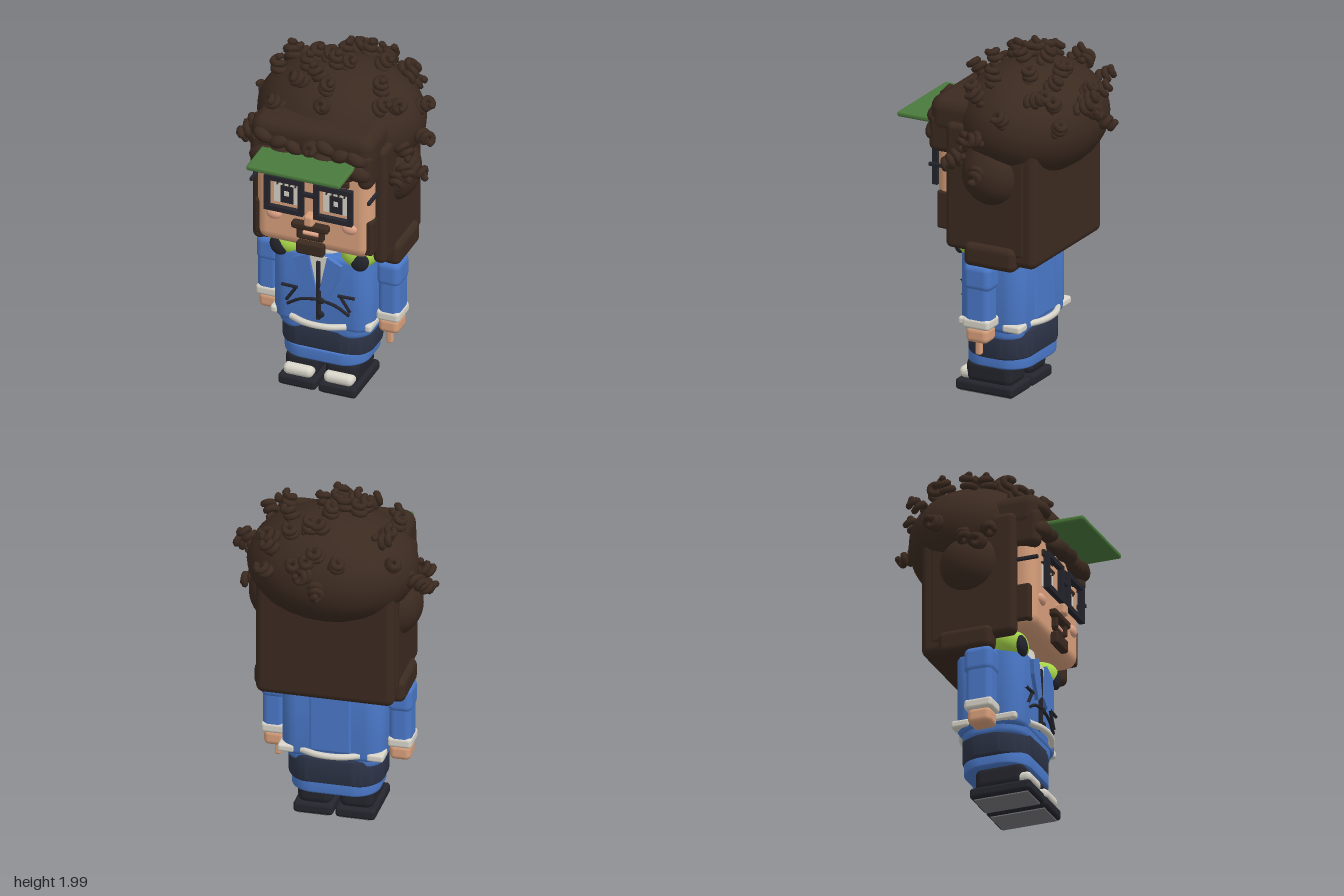
import * as THREE from 'three';
import { toCreasedNormals } from 'three/addons/utils/BufferGeometryUtils.js';
import { RoundedBoxGeometry } from 'three/addons/geometries/RoundedBoxGeometry.js';

const mat = (name, color) => Object.assign(new THREE.MeshStandardMaterial({ color }), { name });

export function createModel() {
  const root = new THREE.Group();
  root.name = 'figure';
  const hair = mat('brown hair', 0x3b2a20), skin = mat('skin', 0xd9a07c), blue = mat('blue cloth', 0x4a78c8);
  const navy = mat('navy cloth', 0x2e3549), black = mat('black', 0x24252d), cream = mat('cream', 0xd9d5ca);
  const lime = mat('lime', 0xa8d84a), green = mat('green', 0x4a7a3c), blush = mat('blush', 0xe0a488);
  const grey = mat('sole grey', 0x77777a);

  const add = (name, geo, m) => {
    const mesh = new THREE.Mesh(geo, m);
    mesh.name = name;
    root.add(mesh);
    return mesh;
  };
  // rounded box from its bounds
  const box = (name, m, x0, x1, y0, y1, z0, z1, r = 0.01) => {
    const w = x1 - x0, h = y1 - y0, d = z1 - z0;
    const mesh = add(name, new RoundedBoxGeometry(w, h, d, 3, Math.min(r, w / 2.1, h / 2.1, d / 2.1)), m);
    mesh.position.set((x0 + x1) / 2, (y0 + y1) / 2, (z0 + z1) / 2);
    return mesh;
  };
  // the same box on both sides
  const pair = (name, m, x0, x1, ...rest) => {
    box(name + 'Left', m, x0, x1, ...rest);
    box(name + 'Right', m, -x1, -x0, ...rest);
  };
  const ball = (name, m, x, y, z, rx, ry, rz, rot = 0) => {
    const mesh = add(name, new THREE.SphereGeometry(1, 32, 20), m);
    mesh.position.set(x, y, z);
    mesh.scale.set(rx, ry, rz);
    mesh.rotation.z = rot;
    return mesh;
  };
  const tube = (name, m, pts, r, segs = 20) =>
    add(name, new THREE.TubeGeometry(new THREE.CatmullRomCurve3(pts.map(p => new THREE.Vector3(...p))), segs, r, 8), m);
  // upright block with a rounded-rectangle plan and bevelled rims
  const block = (name, m, hx, y0, y1, z0, z1, r, b) => {
    const a = hx - b, c = (z1 - z0) / 2 - b, s = new THREE.Shape();
    s.moveTo(-a + r, -c).lineTo(a - r, -c).absarc(a - r, -c + r, r, -Math.PI / 2, 0)
      .absarc(a - r, c - r, r, 0, Math.PI / 2).absarc(-a + r, c - r, r, Math.PI / 2, Math.PI)
      .absarc(-a + r, -c + r, r, Math.PI, Math.PI * 1.5);
    const g = new THREE.ExtrudeGeometry(s, { depth: y1 - y0 - 2 * b, bevelSize: b, bevelThickness: b, bevelSegments: 4, curveSegments: 10 });
    g.rotateX(-Math.PI / 2).translate(0, y0 + b, (z0 + z1) / 2);
    return add(name, toCreasedNormals(g, 0.7), m);
  };
  // thin plate from outline points, facing +z
  const plate = (name, m, pts, z, depth) => {
    const g = new THREE.ExtrudeGeometry(new THREE.Shape(pts.map(p => new THREE.Vector2(...p))), { depth, bevelEnabled: false });
    g.translate(0, 0, z);
    return add(name, g, m);
  };

  // shoes and legs
  pair('sole', black, 0.006, 0.228, 0.012, 0.075, -0.09, 0.265, 0.02);
  pair('solePlate', grey, 0.03, 0.205, 0.004, 0.014, -0.07, 0.245, 0.003);
  pair('shoe', black, 0.02, 0.212, 0.06, 0.2, -0.07, 0.215, 0.045);
  pair('toeCap', cream, 0.032, 0.204, 0.072, 0.137, 0.12, 0.258, 0.03);

  // trousers and jacket body
  block('shirtHem', blue, 0.246, 0.18, 0.26, -0.158, 0.228, 0.13, 0.012);
  block('trousers', navy, 0.266, 0.235, 0.41, -0.162, 0.222, 0.13, 0.025);
  block('jacketHem', blue, 0.272, 0.35, 0.48, -0.15, 0.222, 0.1, 0.03);
  block('jacket', blue, 0.288, 0.4, 0.855, -0.165, 0.228, 0.07, 0.03);
  box('jacketBackPanel', blue, -0.12, 0.12, 0.44, 0.84, -0.172, -0.1, 0.02);
  for (const s of [1, -1]) {
    const z = s > 0 ? 0.275 : -0.2;
    tube(s > 0 ? 'frontHemCord' : 'backHemCord', cream,
      [[-0.16, 0.438, z - s * 0.045], [-0.08, 0.438, z - s * 0.01], [0, 0.438, z], [0.08, 0.438, z - s * 0.01], [0.16, 0.438, z - s * 0.045]], 0.018);
  }
  pair('hemTrimBack', cream, 0.2, 0.294, 0.415, 0.46, -0.17, -0.06, 0.015);
  pair('hemTrimFront', cream, 0.255, 0.294, 0.415, 0.46, 0.08, 0.21, 0.015);

  // shirt, lapels and fastenings
  plate('shirtFront', cream, [[-0.075, 0.85], [0, 0.6], [0.075, 0.85]], 0.225, 0.008);
  for (const s of [1, -1]) {
    const pts = [[s * 0.055, 0.86], [s * 0.14, 0.82], [s * 0.125, 0.74], [s * 0.065, 0.61], [s * 0.012, 0.65]];
    plate('lapel', blue, s > 0 ? pts.reverse() : pts, 0.222, 0.028);
    tube('cordUpper', black, [[s * 0.215, 0.63, 0.236], [s * 0.115, 0.63, 0.24]], 0.009, 2);
    tube('cordMiddle', black, [[s * 0.13, 0.625, 0.238], [s * 0.185, 0.54, 0.238]], 0.009, 2);
    tube('cordLower', black, [[0, 0.585, 0.244], [s * 0.1, 0.565, 0.242], [s * 0.18, 0.515, 0.236]], 0.009, 6);
  }
  box('zip', black, -0.011, 0.011, 0.455, 0.82, 0.22, 0.246, 0.004);
  for (const y of [0.58, 0.495]) ball('button', black, 0.018, y, 0.245, 0.02, 0.02, 0.012);

  // arms
  pair('sleeve', blue, 0.29, 0.413, 0.47, 0.78, -0.04, 0.112, 0.035);
  pair('shoulder', blue, 0.28, 0.42, 0.665, 0.822, -0.05, 0.118, 0.04);
  pair('cuff', cream, 0.284, 0.418, 0.45, 0.512, -0.045, 0.118, 0.02);
  pair('hand', skin, 0.29, 0.408, 0.368, 0.46, -0.03, 0.105, 0.03);
  box('finger', skin, 0.325, 0.36, 0.285, 0.39, 0.032, 0.068, 0.012);

  // neck and headphones
  const collar = add('collar', new THREE.CylinderGeometry(0.1, 0.12, 0.14, 32), cream);
  collar.position.set(0, 0.88, 0.09);
  const band = add('headphoneBand', new THREE.TorusGeometry(0.17, 0.025, 10, 32, Math.PI), lime);
  band.rotation.x = -Math.PI / 2;
  band.position.set(0, 0.87, 0.06);
  for (const s of [1, -1]) {
    ball('headphoneCup', lime, s * 0.21, 0.88, 0.15, 0.108, 0.088, 0.095, s * 0.3);
    ball('headphonePad', black, s * 0.235, 0.862, 0.222, 0.052, 0.06, 0.028, -s * 0.35);
  }

  // face
  box('head', skin, -0.335, 0.335, 0.935, 1.6, -0.15, 0.33, 0.07);
  box('nose', skin, -0.028, 0.028, 1.115, 1.185, 0.31, 0.388, 0.018);
  for (const s of [1, -1]) {
    ball('cheek', blush, s * 0.22, 1.125, 0.325, 0.046, 0.034, 0.026);
    const at = (name, m, x0, x1, ...r) => box(name, m, s * 0.143 + x0, s * 0.143 + x1, ...r);
    at('eyeWhite', cream, -0.075, 0.075, 1.205, 1.345, 0.328, 0.335, 0.002);
    at('pupil', black, -0.036, 0.04, 1.21, 1.315, 0.333, 0.34, 0.002);
    at('eyeGlint', cream, -0.012, 0.014, 1.255, 1.285, 0.338, 0.343, 0.001);
    at('upperLid', hair, -0.08, 0.08, 1.338, 1.352, 0.328, 0.345, 0.003);
    at('eyebrow', hair, -0.08, 0.08, 1.385, 1.425, 0.325, 0.352, 0.01);
    for (let i = -1.5; i < 2; i++) at('lash', hair, i * 0.035 - 0.004, i * 0.035 + 0.004, 1.32, 1.345, 0.335, 0.348, 0.002);

    // glasses rim and temple
    const rim = new THREE.Shape(), hole = new THREE.Path();
    rim.moveTo(-0.113, -0.108).lineTo(0.113, -0.108).lineTo(0.113, 0.108).lineTo(-0.113, 0.108);
    hole.moveTo(-0.085, -0.08).lineTo(-0.085, 0.08).lineTo(0.085, 0.08).lineTo(0.085, -0.08);
    rim.holes.push(hole);
    const frame = add('glassesRim', new THREE.ExtrudeGeometry(rim, { depth: 0.03, bevelEnabled: false }), black);
    frame.position.set(s * 0.143, 1.283, 0.357);
    const t = s * 0.342;
    box('glassesTemple', black, t - 0.009, t + 0.009, 1.315, 1.335, 0.22, 0.36, 0.004);
  }
  box('glassesBridge', black, -0.035, 0.035, 1.3, 1.325, 0.36, 0.384, 0.005);
  box('moustache', hair, -0.108, 0.108, 1.078, 1.122, 0.32, 0.37, 0.015);
  pair('moustacheEnd', hair, 0.05, 0.078, 1.02, 1.09, 0.32, 0.362, 0.01);
  box('lowerBeard', hair, -0.07, 0.07, 1.012, 1.035, 0.32, 0.352, 0.008);
  box('lip', blush, -0.05, 0.05, 1.038, 1.06, 0.322, 0.348, 0.01);
  box('goatee', hair, -0.08, 0.08, 0.925, 1.0, 0.32, 0.367, 0.014);

  // hair volume
  const C = [0, 1.58, -0.1], R = [0.47, 0.31, 0.39];
  ball('hairDome', hair, ...C, ...R);
  box('backHair', hair, -0.385, 0.385, 0.83, 1.6, -0.312, -0.12, 0.045);
  pair('sideHair', hair, 0.312, 0.39, 0.88, 1.6, -0.26, 0.24, 0.035);
  pair('sideTuft', hair, 0.31, 0.42, 0.805, 0.945, -0.2, 0.115, 0.04);
  pair('sideburn', hair, 0.29, 0.345, 0.965, 1.18, 0.2, 0.312, 0.015);
  for (const s of [1, -1]) ball('sidePuff', hair, s * 0.31, 1.335, -0.03, 0.17, 0.185, 0.185);
  box('fringe', hair, -0.36, 0.36, 1.5, 1.72, -0.1, 0.365, 0.075);
  pair('fringeSide', hair, 0.27, 0.355, 1.4, 1.62, 0.2, 0.365, 0.04);
  for (let i = 0; i < 7; i++) {
    const x = -0.27 + i * 0.09;
    ball('fringeLock', hair, x, 1.51 + 0.02 * Math.sin(i * 2.1), 0.355, 0.085, 0.052, 0.048, i < 3 ? 0.35 : -0.3);
    ball('fringeCurl', hair, x, 1.605 + 0.02 * Math.cos(i * 1.7), 0.355, 0.06, 0.04, 0.045, i % 2 ? 0.4 : -0.4);
  }
  box('visor', green, -0.275, 0.272, 1.53, 1.56, 0.3, 0.596, 0.012);

  // corkscrew curls, each growing outward from the hair
  class Helix extends THREE.Curve {
    getPoint(t, v = new THREE.Vector3()) {
      const a = t * Math.PI * 4.2, r = 0.031 - 0.008 * t;
      return v.set(Math.cos(a) * r, t * 0.085, Math.sin(a) * r);
    }
  }
  const tubeGeo = new THREE.TubeGeometry(new Helix(), 36, 0.019, 7);
  const tip = new THREE.SphereGeometry(0.019, 8, 6);
  let n = 0;
  const curl = (x, y, z) => {
    const g = new THREE.Group();
    g.name = 'curl';
    g.add(new THREE.Mesh(tubeGeo, hair));
    for (const t of [0, 1]) {
      const end = new THREE.Mesh(tip, hair);
      end.position.copy(new Helix().getPoint(t));
      g.add(end);
    }
    const k = n++;
    const dir = new THREE.Vector3((x - C[0]) / R[0] ** 2, (y - C[1]) / R[1] ** 2, (z - C[2]) / R[2] ** 2).normalize();
    dir.add(new THREE.Vector3(Math.sin(k * 2.3), Math.sin(k * 1.1), Math.cos(k * 1.9)).multiplyScalar(0.45)).normalize();
    g.quaternion.setFromUnitVectors(new THREE.Vector3(0, 1, 0), dir);
    g.position.set(x, y, z);
    root.add(g);
  };
  // crown curls: x, z on the dome
  const crown = [[-0.1, -0.44], [0, -0.42], [0.07, -0.44], [0.25, -0.36], [0.26, -0.3], [0.32, -0.25], [0.19, -0.19], [0.08, -0.3], [0.18, -0.3],
    [0, -0.28], [-0.28, -0.25], [-0.31, -0.17], [-0.34, -0.04], [-0.25, 0.18], [-0.15, -0.11], [-0.15, 0], [-0.15, 0.08], [-0.08, -0.11], [0, -0.16],
    [-0.01, -0.06], [0.04, -0.08], [-0.06, 0.05], [0, 0.12], [0.01, 0.2], [0.27, 0], [0.29, 0.1], [0.36, 0.02]];
  for (const [x, z] of crown)
    curl(x, C[1] + R[1] * Math.sqrt(Math.max(0, 1 - (x / R[0]) ** 2 - ((z - C[2]) / R[2]) ** 2)), z);
  // rim curls: x, y, z
  const rim = [[0, 1.62, -0.5], [0.05, 1.68, -0.47], [0.13, 1.7, -0.45], [0.28, 1.62, -0.4], [-0.38, 1.7, -0.3], [-0.44, 1.57, -0.18],
    [-0.46, 1.48, -0.04], [-0.43, 1.5, 0.1], [-0.44, 1.42, 0.06], [0.43, 1.68, -0.15], [0.48, 1.58, -0.03], [0.41, 1.56, 0.08],
    [0.44, 1.46, 0.12], [0.42, 1.42, 0.14], [0.45, 1.38, 0.0], [0, 1.6, 0.36]];
  for (const p of rim) curl(...p);
  return root;
}
